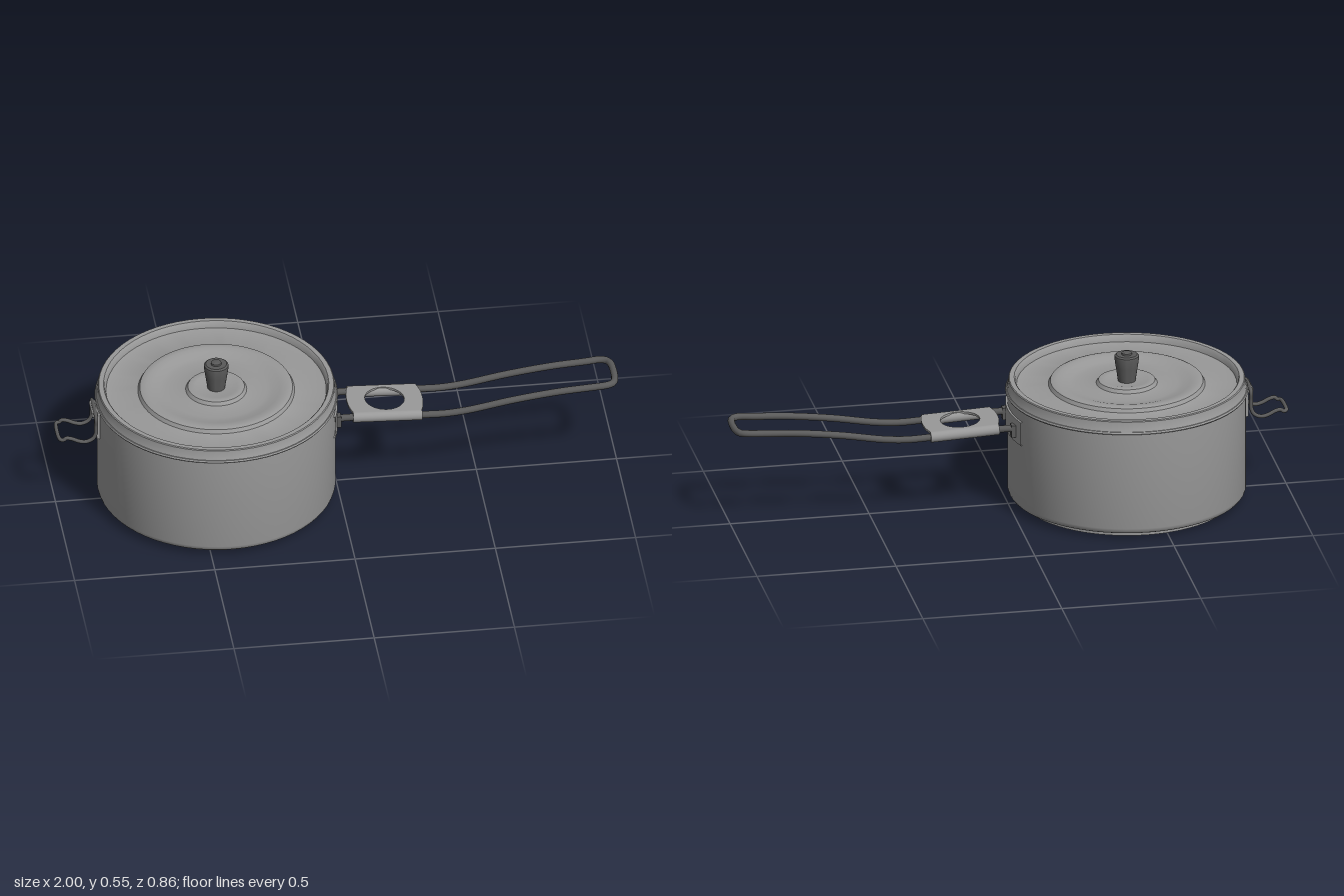
import * as THREE from 'three';
import { toCreasedNormals } from 'three/addons/utils/BufferGeometryUtils.js';

const CX = -0.427; // axis of the pot
const metal = new THREE.MeshStandardMaterial({ color: 0x999999, side: THREE.DoubleSide });
const dark = new THREE.MeshStandardMaterial({ color: 0x5a5a5a, side: THREE.DoubleSide });
const v = (x, y, z) => new THREE.Vector3(x, y, z);

export function createModel() {
  const group = new THREE.Group();

  const add = (name, material, geometry, x = 0, y = 0, z = 0) => {
    const mesh = new THREE.Mesh(geometry, material);
    mesh.name = name;
    mesh.position.set(x, y, z);
    group.add(mesh);
  };
  const lathe = (name, material, profile, segments = 64, start = 0, length = Math.PI * 2) => {
    const points = profile.map(([r, y]) => new THREE.Vector2(r, y));
    const g = new THREE.LatheGeometry(points, segments, start, length);
    add(name, material, toCreasedNormals(g, 0.6), CX);
  };
  // Wire bent in profile (x, y), running out on +z and back on -z, with rounded far corners
  const wire = (name, profile, halfWidth, corner, radius, closed) => {
    const end = profile[profile.length - 1];
    const side = [...profile.slice(0, -1).map(([x, y]) => v(x, y, halfWidth)),
      v(end[0] - corner, end[1], halfWidth),
      v(end[0] - corner * 0.3, end[1], halfWidth - Math.abs(corner) * 0.3),
      v(end[0], end[1], halfWidth - Math.abs(corner))];
    const back = side.map((p) => v(p.x, p.y, -p.z)).reverse();
    const curve = new THREE.CatmullRomCurve3([...side, ...back], closed, 'centripetal');
    add(name, dark, new THREE.TubeGeometry(curve, 140, radius, 12, closed));
  };

  // Pot body with rounded bottom edge and rolled rim
  lathe('potBody', metal, [[0, 0.018], [0.398, 0.018], [0.407, 0.0195], [0.4145, 0.0235],
    [0.4195, 0.0305], [0.422, 0.041], [0.422, 0.398], [0.427, 0.4], [0.43, 0.405],
    [0.427, 0.411], [0.415, 0.412]]);

  // Thin foot ring, broken by a gap at each side
  for (const start of [0, Math.PI]) {
    const gap = 0.19;
    lathe('footRing', metal, [[0.377, 0.019], [0.378, 0], [0.382, 0], [0.382, 0.019]], 32,
      start + Math.PI / 2 + gap, Math.PI - gap * 2);
  }

  // Lid with raised border and pressed rings
  lathe('lid', metal, [[0.424, 0.405], [0.424, 0.414], [0.422, 0.417], [0.418, 0.447], [0.415, 0.45],
    [0.398, 0.45], [0.394, 0.446], [0.389, 0.425], [0.38, 0.423], [0.283, 0.423], [0.277, 0.425],
    [0.27, 0.438], [0.262, 0.441], [0.245, 0.441], [0.225, 0.437], [0.2, 0.429], [0.18, 0.427],
    [0.115, 0.427], [0.108, 0.429], [0.1, 0.441], [0.092, 0.443], [0.075, 0.442],
    [0.06, 0.438], [0, 0.437]]);

  // Knob
  lathe('knob', dark, [[0, 0.435], [0.031, 0.435], [0.033, 0.45], [0.039, 0.49], [0.044, 0.525],
    [0.043, 0.532], [0.037, 0.537], [0.019, 0.537], [0.018, 0.543], [0.014, 0.545], [0, 0.545]], 32);

  // Curved mounting plate under the long handle
  const half = 0.321;
  lathe('handlePlate', metal, [[0.418, 0.272], [0.429, 0.272], [0.429, 0.36], [0.418, 0.36]], 16,
    Math.PI / 2 - half, half * 2);

  // Long wire handle
  wire('handleWire', [[-0.02, 0.32], [0.05, 0.32], [0.17, 0.315], [0.3, 0.308], [0.38, 0.306],
    [0.46, 0.313], [0.62, 0.341], [0.78, 0.361], [0.9, 0.369], [0.987, 0.373]], 0.082, 0.034, 0.0125, false);

  // Lugs holding the wire ends
  for (const s of [1, -1]) {
    add('handleLug', dark, new THREE.BoxGeometry(0.02, 0.044, 0.028), -0.004, 0.313, s * 0.084);
  }

  // Sliding lock: perforated sheet folded round both wires
  const lock = new THREE.Group();
  lock.name = 'handleLock';
  lock.position.set(0.172, 0.314, 0);
  lock.rotation.z = -0.045;
  group.add(lock);
  const outline = new THREE.Shape();
  outline.moveTo(-0.122, -0.08);
  outline.lineTo(0.122, -0.08);
  outline.bezierCurveTo(0.14, -0.04, 0.14, 0.04, 0.122, 0.08);
  outline.lineTo(-0.122, 0.08);
  outline.bezierCurveTo(-0.14, 0.04, -0.14, -0.04, -0.122, -0.08);
  const hole = new THREE.Path();
  hole.absarc(0, 0, 0.07, 0, Math.PI * 2, true);
  outline.holes.push(hole);
  const sheet = new THREE.Mesh(
    new THREE.ExtrudeGeometry(outline, { depth: 0.008, bevelEnabled: false, curveSegments: 32 })
      .rotateX(-Math.PI / 2).translate(0, 0.012, 0), metal);
  sheet.name = 'lockSheet';
  lock.add(sheet);
  for (const s of [1, -1]) {
    const sleeve = new THREE.Mesh(
      new THREE.CylinderGeometry(0.02, 0.02, 0.246, 20).rotateZ(Math.PI / 2), metal);
    sleeve.name = 'lockSleeve';
    sleeve.position.z = s * 0.08;
    lock.add(sleeve);
  }

  // Small wire helper handle, folded down from its hinge
  wire('helperWire', [[-0.863, 0.384], [-0.863, 0.35], [-0.865, 0.315], [-0.876, 0.296],
    [-0.9, 0.286], [-0.925, 0.291], [-0.95, 0.303], [-0.97, 0.307], [-0.993, 0.3]],
  0.058, -0.014, 0.007, true);

  // Hinge tab: strip on the wall with a curl over the helper wire
  add('hingeTab', metal, new THREE.BoxGeometry(0.012, 0.11, 0.076), -0.852, 0.335, 0);
  add('hingeCurl', metal, new THREE.CylinderGeometry(0.0125, 0.0125, 0.08, 16).rotateX(Math.PI / 2), -0.863, 0.384, 0);

  return group;
}
